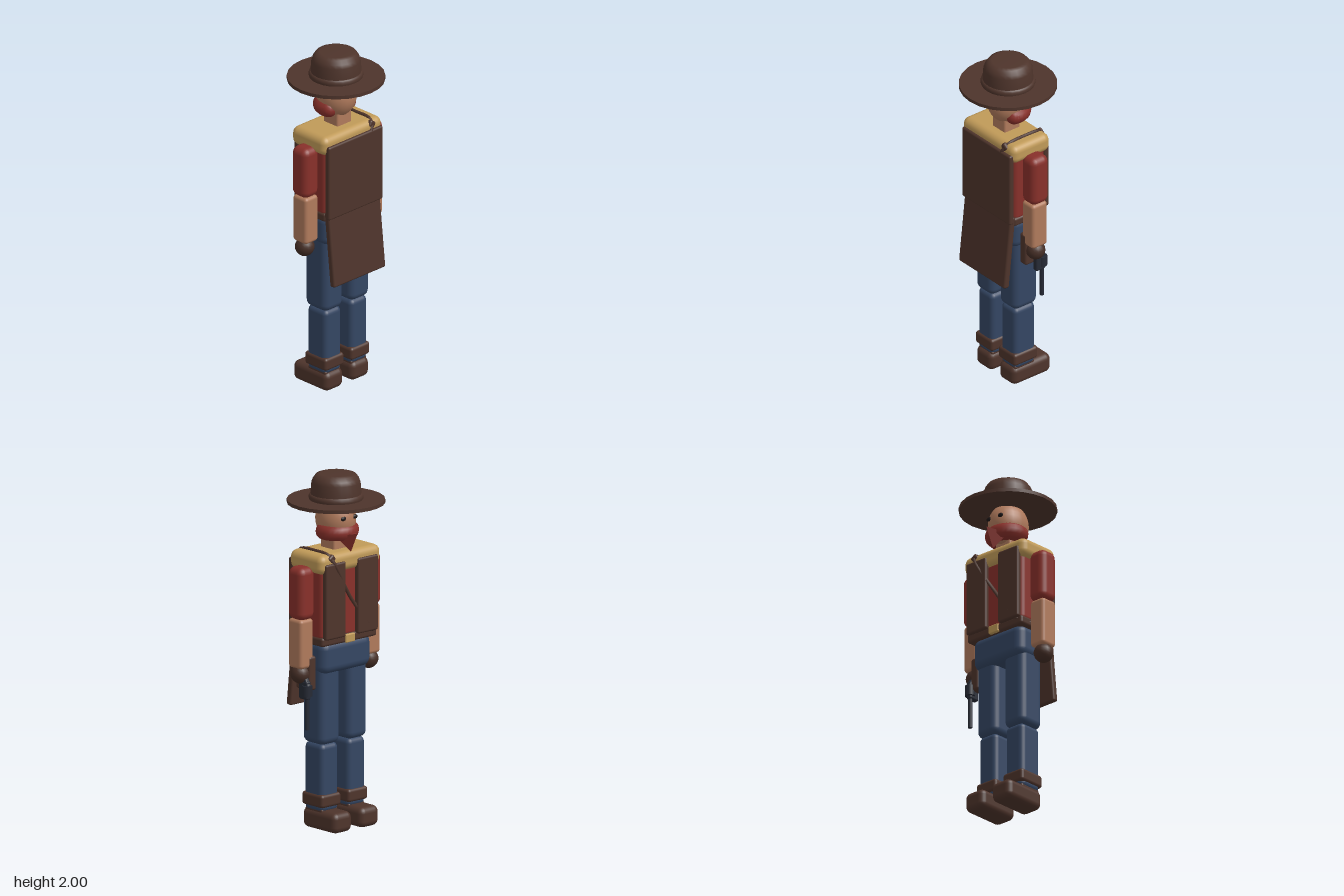
import * as THREE from 'three';
import { RoundedBoxGeometry } from 'three/addons/geometries/RoundedBoxGeometry.js';

const material = (name, color) => {
  const m = new THREE.MeshStandardMaterial({ color });
  m.name = name;
  return m;
};

export function createModel() {
  const model = new THREE.Group();
  model.name = 'gunslinger';
  const leather = material('brown leather', 0x4e342b);
  const glove = material('dark glove', 0x452e26);
  const red = material('red cloth', 0x88302a);
  const skin = material('skin', 0xb07a5c);
  const tan = material('tan cloth', 0xc09a58);
  const denim = material('blue denim', 0x34466a);
  denim.color.set(0x344663);
  const metal = material('gun metal', 0x262a35);
  const black = material('eye black', 0x1c1616);

  const add = (name, geometry, mat, x = 0, y = 0, z = 0) => {
    const mesh = new THREE.Mesh(geometry, mat);
    mesh.name = name;
    mesh.position.set(x, y, z);
    model.add(mesh);
    return mesh;
  };
  // Rounded block given by its centre x, width, and y and z ranges
  const block = (name, mat, x, w, y0, y1, z0, z1, r = 0.03) =>
    add(name, new RoundedBoxGeometry(w, y1 - y0, z1 - z0, 3, r), mat, x, (y0 + y1) / 2, (z0 + z1) / 2);

  // Legs, boots, arms and hands, mirrored
  for (const s of [-1, 1]) {
    const side = s > 0 ? 'left' : 'right';
    block(side + 'Thigh', denim, s * 0.102, 0.148, 0.485, 1.0, -0.075, 0.095, 0.04);
    block(side + 'Shin', denim, s * 0.1, 0.13, 0.1, 0.49, -0.065, 0.085, 0.03);
    block(side + 'BootCuff', leather, s * 0.1, 0.148, 0.13, 0.205, -0.075, 0.095, 0.018);
    block(side + 'BootAnkle', leather, s * 0.1, 0.12, 0.08, 0.122, -0.06, 0.08, 0.012);
    block(side + 'Boot', leather, s * 0.1, 0.14, 0.0, 0.115, -0.175, 0.098, 0.035);
    block(side + 'Sleeve', red, s * 0.25, 0.114, 1.21, 1.51, -0.05, 0.072, 0.04);
    block(side + 'Forearm', skin, s * 0.25, 0.1, 0.935, 1.215, -0.04, 0.068, 0.02);
    add(side + 'Hand', new THREE.SphereGeometry(0.055, 16, 12), glove, s * 0.255, 0.9, 0.013);
    // Open front of the coat
    block(side + 'CoatFront', leather, s * 0.12, 0.15, 1.1, 1.53, -0.135, -0.1, 0.012);
    const eye = add(side + 'Eye', new THREE.SphereGeometry(0.018, 12, 8), black, s * 0.043, 1.765, -0.108);
    eye.scale.set(1, 0.7, 0.45);
  }

  // Trunk
  block('hips', denim, 0, 0.37, 0.89, 1.08, -0.1, 0.112, 0.05);
  block('shirt', red, 0, 0.4, 1.09, 1.5, -0.105, 0.118, 0.03);
  block('shoulderYoke', tan, -0.003, 0.456, 1.47, 1.58, -0.125, 0.145, 0.04);
  block('belt', leather, 0, 0.41, 1.06, 1.112, -0.113, 0.12, 0.015);
  block('buckle', tan, 0, 0.07, 1.06, 1.108, -0.122, -0.1, 0.006);

  // Coat back and slanted tail
  block('coatBack', leather, 0, 0.42, 1.085, 1.53, 0.125, 0.16, 0.012);
  const tail = block('coatTail', leather, 0, 0.4, 0.68, 1.12, 0.13, 0.168, 0.012);
  tail.rotation.x = -0.105;

  // Shoulder strap looping from one shoulder to the opposite hip
  const loop = [
    [0.15, 1.575, -0.1], [0.13, 1.53, -0.128], [0, 1.32, -0.113], [-0.17, 1.1, -0.11],
    [-0.2, 1.09, 0], [-0.17, 1.1, 0.122], [0, 1.32, 0.122], [0.13, 1.53, 0.148],
    [0.15, 1.575, 0.115], [0.15, 1.582, 0.01]
  ].map(p => new THREE.Vector3(...p));
  add('shoulderStrap', new THREE.TubeGeometry(new THREE.CatmullRomCurve3(loop, true), 80, 0.01, 6, true), leather);
  for (const [z, name] of [[-0.113, 'strapFrontEnd'], [0.133, 'strapBackEnd']]) {
    const end = block(name, leather, 0.14, 0.045, 1.535, 1.575, z - 0.015, z + 0.015, 0.012);
    end.rotation.z = -0.6;
  }

  // Head and neck
  block('neck', skin, 0, 0.11, 1.56, 1.67, -0.045, 0.068, 0.012);
  add('head', new THREE.SphereGeometry(1, 24, 16), skin, 0, 1.745, 0.003).scale.set(0.107, 0.13, 0.12);

  // Neckerchief wrapped around the lower face, with rounded ends and a hanging point
  const wrap = Math.PI * 1.16;
  const scarf = new THREE.TorusGeometry(0.076, 0.049, 12, 16, wrap);
  scarf.rotateZ((Math.PI - wrap) / 2);
  scarf.rotateX(-Math.PI / 2);
  add('scarf', scarf, red, 0, 1.68, -0.005);
  for (const s of [-1, 1]) {
    add('scarfEnd', new THREE.SphereGeometry(0.049, 12, 10), red, s * 0.073, 1.68, 0.016);
  }
  const point = new THREE.ConeGeometry(0.075, 0.1, 3).toNonIndexed();
  point.computeVertexNormals();
  point.rotateX(Math.PI + 0.2);
  add('scarfPoint', point, red, 0, 1.622, -0.112);

  // Hat
  add('hatBrim', new THREE.CylinderGeometry(0.272, 0.272, 0.02, 24), leather, 0, 1.844, 0);
  const crown = [[0.142, 1.85], [0.141, 1.89], [0.136, 1.95], [0.128, 1.972], [0.112, 1.993], [0.09, 2], [0, 2]];
  add('hatCrown', new THREE.LatheGeometry(crown.map(p => new THREE.Vector2(...p)), 24), leather);
  const band = [[0.148, 1.85], [0.152, 1.862], [0.151, 1.874], [0.146, 1.884], [0.138, 1.886]];
  add('hatBand', new THREE.LatheGeometry(band.map(p => new THREE.Vector2(...p)), 24), leather);

  // Holster and lowered revolver
  block('holster', leather, 0.212, 0.055, 0.805, 1.0, -0.045, 0.07, 0.015);
  block('gunFrame', metal, 0.25, 0.034, 0.76, 0.865, -0.052, 0.015, 0.01);
  add('gunCylinder', new THREE.CylinderGeometry(0.029, 0.029, 0.06, 12), metal, 0.25, 0.81, -0.038);
  add('gunBarrel', new THREE.CylinderGeometry(0.0125, 0.0125, 0.23, 10), metal, 0.25, 0.703, -0.037);
  const grip = block('gunGrip', metal, 0.25, 0.03, 0.82, 0.9, -0.045, -0.005, 0.01);
  grip.rotation.x = 0.5;
  return model;
}
